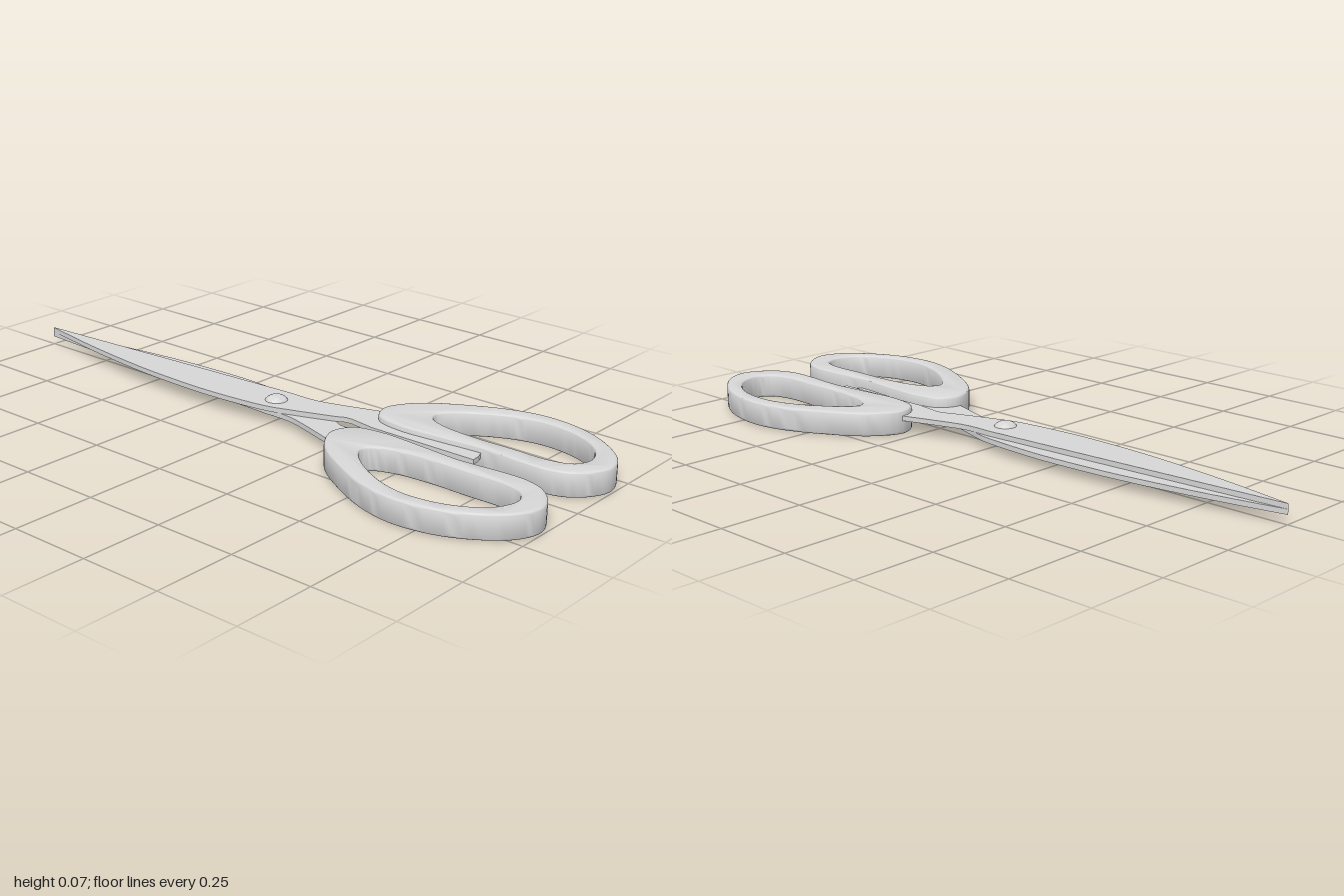
import * as THREE from 'three';
import { toCreasedNormals } from 'three/addons/utils/BufferGeometryUtils.js';

const steel = new THREE.MeshStandardMaterial({ color: 0xd6d6d6 });
steel.name = 'satin grey';

const MID = 0.0415; // height where the two blades meet

// Points are [x, z]; side is 1 or -1 and mirrors across x
const vectors = (points, side) => points.map(([x, z]) => new THREE.Vector2(x * side, z));

function closedLoop(points, side) {
  const curve = new THREE.CatmullRomCurve3(
    points.map(([x, z]) => new THREE.Vector3(x * side, z, 0)), true);
  return curve.getPoints(80).slice(0, -1).map(p => new THREE.Vector2(p.x, p.y));
}

// Lay an extruded outline flat, with its top at the given height
function slab(shape, top, options) {
  const geometry = new THREE.ExtrudeGeometry(shape, options);
  geometry.rotateX(Math.PI / 2).translate(0, top, 0);
  return toCreasedNormals(geometry, 0.6);
}

function part(name, geometry) {
  const mesh = new THREE.Mesh(geometry, steel);
  mesh.name = name;
  return mesh;
}

// Finger loop with softly rounded rims
function handle(name, side) {
  const shape = new THREE.Shape(closedLoop([
    [0.117, 0.284], [0.21, 0.335], [0.297, 0.464], [0.35, 0.586], [0.366, 0.69],
    [0.344, 0.815], [0.29, 0.915], [0.23, 0.976], [0.165, 0.998], [0.107, 0.976],
    [0.062, 0.93], [0.043, 0.873], [0.042, 0.8], [0.051, 0.666], [0.041, 0.533],
    [0.034, 0.4], [0.055, 0.315],
  ], side));
  // The hole winds against the outline
  shape.holes.push(new THREE.Path(closedLoop([
    [0.168, 0.428], [0.203, 0.45], [0.265, 0.533], [0.304, 0.62], [0.317, 0.7],
    [0.301, 0.8], [0.258, 0.88], [0.213, 0.915], [0.165, 0.925], [0.125, 0.905],
    [0.105, 0.85], [0.104, 0.72], [0.103, 0.61], [0.115, 0.5], [0.14, 0.442],
  ], side).reverse()));
  const bevel = 0.009;
  return part(name, slab(shape, 0.0735 - bevel, {
    depth: 0.0735 - 2 * bevel, bevelThickness: bevel, bevelSize: bevel,
    bevelOffset: -bevel, bevelSegments: 4,
  }));
}

// Blade that crosses at the pivot and runs into a tang beside the handle
function blade(name, side, top) {
  const back = new THREE.SplineCurve(vectors([
    [0, -1], [-0.043, -0.77], [-0.075, -0.53], [-0.087, -0.35], [-0.088, -0.2],
    [-0.073, -0.02], [-0.045, 0.08], [0, 0.205],
  ], side)).getPoints(48);
  const tang = vectors([
    [0.012, 0.228], [0.014, 0.25], [0.008, 0.29], [0.001, 0.335], [0.001, 0.675],
    [0.03, 0.672], [0.06, 0.66], [0.075, 0.5], [0.13, 0.31], [0.121, 0.285],
  ], side);
  const edge = new THREE.SplineCurve(vectors([
    [0.121, 0.285], [0.07, 0.125], [0.058, 0.06], [0.058, -0.01],
  ], side)).getPoints(12).slice(1);
  const cutting = vectors([[0.048, -0.2], [0.037, -0.4], [0.018, -0.72], [0.002, -0.99]], side);
  const shape = new THREE.Shape([...back, ...tang, ...edge, ...cutting]);
  return part(name, slab(shape, top, { depth: 0.015, bevelEnabled: false }));
}

// Domed rivet with a plain shank showing underneath
function rivet() {
  const group = new THREE.Group();
  group.name = 'pivotRivet';
  const profile = [new THREE.Vector2(0, 0.055)];
  for (let i = 0; i <= 12; i++) {
    const a = 0.3 + (i / 12) * (Math.PI / 2 - 0.3);
    profile.push(new THREE.Vector2(0.0345 * Math.cos(a), 0.051 + 0.022 * Math.sin(a)));
  }
  const head = part('rivetHead', toCreasedNormals(new THREE.LatheGeometry(profile, 32), 0.6));
  const shank = part('rivetShank', new THREE.CylinderGeometry(0.018, 0.018, 0.045, 32));
  shank.position.y = 0.0345;
  group.add(head, shank);
  group.position.set(-0.013, 0, -0.01);
  return group;
}

export function createModel() {
  const model = new THREE.Group();
  model.name = 'scissors';
  model.add(
    blade('upperBlade', 1, MID + 0.0152),
    blade('lowerBlade', -1, MID - 0.0002),
    handle('leftHandle', 1),
    handle('rightHandle', -1),
    rivet(),
  );
  return model;
}
